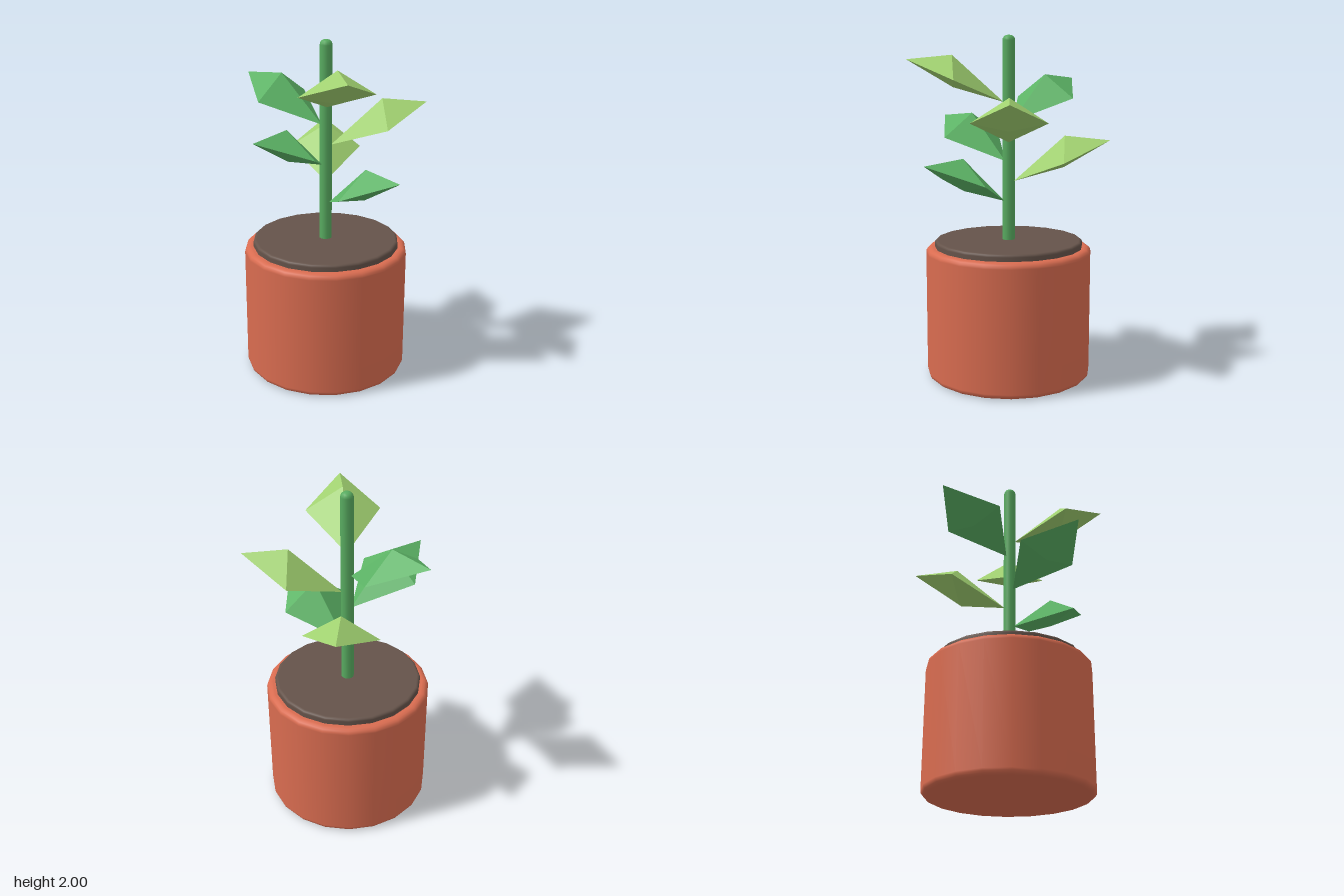
import * as THREE from 'three';

const material = (name, color, extra = {}) =>
  Object.assign(new THREE.MeshStandardMaterial({ color, ...extra }), { name });

// Lathed solid with rounded top and bottom edges
function roundedDrum(radius, y0, y1, bevel, sides) {
  const points = [new THREE.Vector2(0, y0), new THREE.Vector2(radius - bevel * 1.1, y0)];
  const steps = 4;
  for (const [cy, start] of [[y0 + bevel, -Math.PI / 2], [y1 - bevel, 0]]) {
    for (let i = 0; i <= steps; i++) {
      const a = start + (i / steps) * (Math.PI / 2);
      points.push(new THREE.Vector2(radius - bevel + bevel * Math.cos(a), cy + bevel * Math.sin(a)));
    }
  }
  points.push(new THREE.Vector2(radius - bevel * 1.1, y1), new THREE.Vector2(0, y1));
  return new THREE.LatheGeometry(points, sides);
}

// Faceted leaf: a kite-shaped ring joined to an upper and a lower ridge point
function leafGeometry() {
  const ring = [[0.03, 0, 0], [0.325, 0.13, 0.215], [0.585, 0.243, 0], [0.325, 0.13, -0.215]];
  const top = [0.325, 0.268, 0];
  const bottom = [0.32, 0.085, 0];
  const positions = [];
  ring.forEach((p, i) => {
    const q = ring[(i + 1) % 4];
    positions.push(...p, ...q, ...top, ...q, ...p, ...bottom);
  });
  const geometry = new THREE.BufferGeometry();
  geometry.setAttribute('position', new THREE.Float32BufferAttribute(positions, 3));
  geometry.computeVertexNormals();
  return geometry;
}

export function createModel() {
  const terracotta = material('terracotta', 0xd96c50);
  const earth = material('earth', 0x65534a);
  const stemGreen = material('stem green', 0x58ab60);
  const leafGreen = material('leaf green', 0x5cb365, { flatShading: true });
  const limeGreen = material('lime green', 0xa0d070, { flatShading: true });

  const model = new THREE.Group();
  model.name = 'pottedPlant';
  const plant = new THREE.Group();
  plant.name = 'plant';
  plant.position.set(-0.005, 0, -0.053);
  model.add(plant);

  const add = (name, geometry, mat) => {
    const mesh = new THREE.Mesh(geometry, mat);
    mesh.name = name;
    plant.add(mesh);
    return mesh;
  };

  // Pot and soil
  add('pot', roundedDrum(0.486, 0, 0.775, 0.032, 20), terracotta);
  add('soil', roundedDrum(0.435, 0.74, 0.815, 0.016, 20), earth);

  // Stem with a domed tip
  add('stem', roundedDrum(0.037, 0.78, 2, 0.03, 12), stemGreen);

  // Leaves spiral up the stem by the golden angle, alternating in colour
  const leaf = leafGeometry();
  for (let i = 0; i < 6; i++) {
    const mesh = add(`leaf${i + 1}`, leaf, i % 2 ? limeGreen : leafGreen);
    mesh.position.y = 1.045 + i * 0.115;
    mesh.rotation.y = THREE.MathUtils.degToRad(137.5 * i);
  }
  return model;
}
